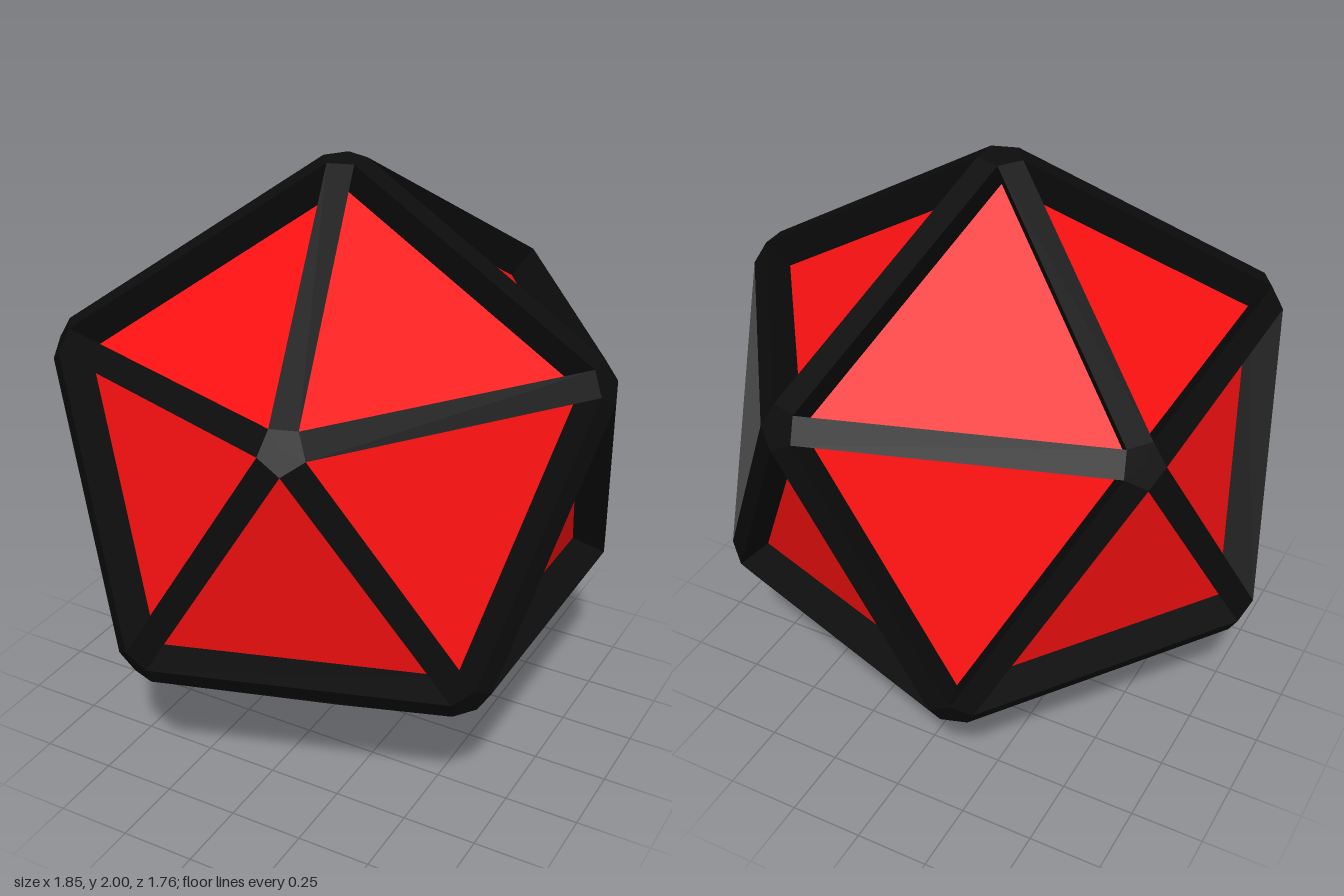
import * as THREE from 'three';

const CORE = 0.905; // corner radius of the inner solid
const up = Math.sqrt(0.2), ring = 2 * up; // ring height and radius on a unit icosahedron

// Unit icosahedron standing on a corner
function icosahedron() {
  const polar = (deg, y) => new THREE.Vector3(
    ring * Math.cos(deg * Math.PI / 180), y, ring * Math.sin(deg * Math.PI / 180));
  const top = new THREE.Vector3(0, 1, 0), bottom = new THREE.Vector3(0, -1, 0);
  const upper = [], lower = [], faces = [];
  for (let k = 0; k < 5; k++) {
    upper.push(polar(72 * k, up));
    lower.push(polar(72 * k + 36, -up));
  }
  for (let k = 0; k < 5; k++) {
    const n = (k + 1) % 5;
    faces.push([top, upper[k], upper[n]], [upper[k], lower[k], upper[n]],
      [lower[k], upper[n], lower[n]], [bottom, lower[k], lower[n]]);
  }
  return faces.map((corners) => ({
    corners,
    normal: corners.reduce((s, c) => s.add(c), new THREE.Vector3()).normalize(),
  }));
}

// Adds a convex polygon as a fan, wound so that it faces along dir
function addPolygon(out, points, dir) {
  const n = points[1].clone().sub(points[0]).cross(points[2].clone().sub(points[0]));
  const p = n.dot(dir) < 0 ? [...points].reverse() : points;
  for (let i = 1; i < p.length - 1; i++) {
    for (const v of [p[0], p[i], p[i + 1]]) out.push(v.x, v.y, v.z);
  }
}

function makeMesh(name, positions, color) {
  const geometry = new THREE.BufferGeometry();
  geometry.setAttribute('position', new THREE.Float32BufferAttribute(positions, 3));
  geometry.computeVertexNormals();
  const mesh = new THREE.Mesh(geometry, new THREE.MeshStandardMaterial({ color, flatShading: true }));
  mesh.name = name;
  mesh.position.y = 1;
  return mesh;
}

export function createModel() {
  const faces = icosahedron();
  const lift = (1 - CORE) / faces[0].normal.dot(faces[0].corners[0]); // frame height over the panels
  const inner = (c) => c.clone().multiplyScalar(CORE);
  const outer = (c, f) => inner(c).addScaledVector(f.normal, lift);
  const panels = [], walls = [], struts = [], caps = [];

  faces.forEach((f, i) => {
    // Sunken triangular panel
    addPolygon(panels, f.corners.map(inner), f.normal);
    f.corners.forEach((a, k) => {
      const b = f.corners[(k + 1) % 3];
      const mid = a.clone().add(b).multiplyScalar(0.5);
      // Frame wall rising from the panel edge
      const centre = f.normal.clone().multiplyScalar(mid.dot(f.normal));
      addPolygon(walls, [inner(a), inner(b), outer(b, f), outer(a, f)], centre.sub(mid));

      const j = faces.findIndex((g) => g !== f && g.corners.includes(a) && g.corners.includes(b));
      if (j < i) return;
      const g = faces[j];
      // Flat outer side of the strut, shared by two faces
      addPolygon(struts, [outer(a, f), outer(b, f), outer(b, g), outer(a, g)], mid);
      // One fifth of the pentagonal cap at each end
      for (const c of [a, b]) addPolygon(caps, [c, outer(c, f), outer(c, g)], c);
    });
  });

  const group = new THREE.Group();
  group.name = 'framedIcosahedron';
  group.add(
    makeMesh('redPanels', panels, 0xff1111),
    makeMesh('frameWalls', walls, 0x0d0d0d),
    makeMesh('frameStruts', struts, 0x0d0d0d),
    makeMesh('cornerCaps', caps, 0x0d0d0d));
  return group;
}
